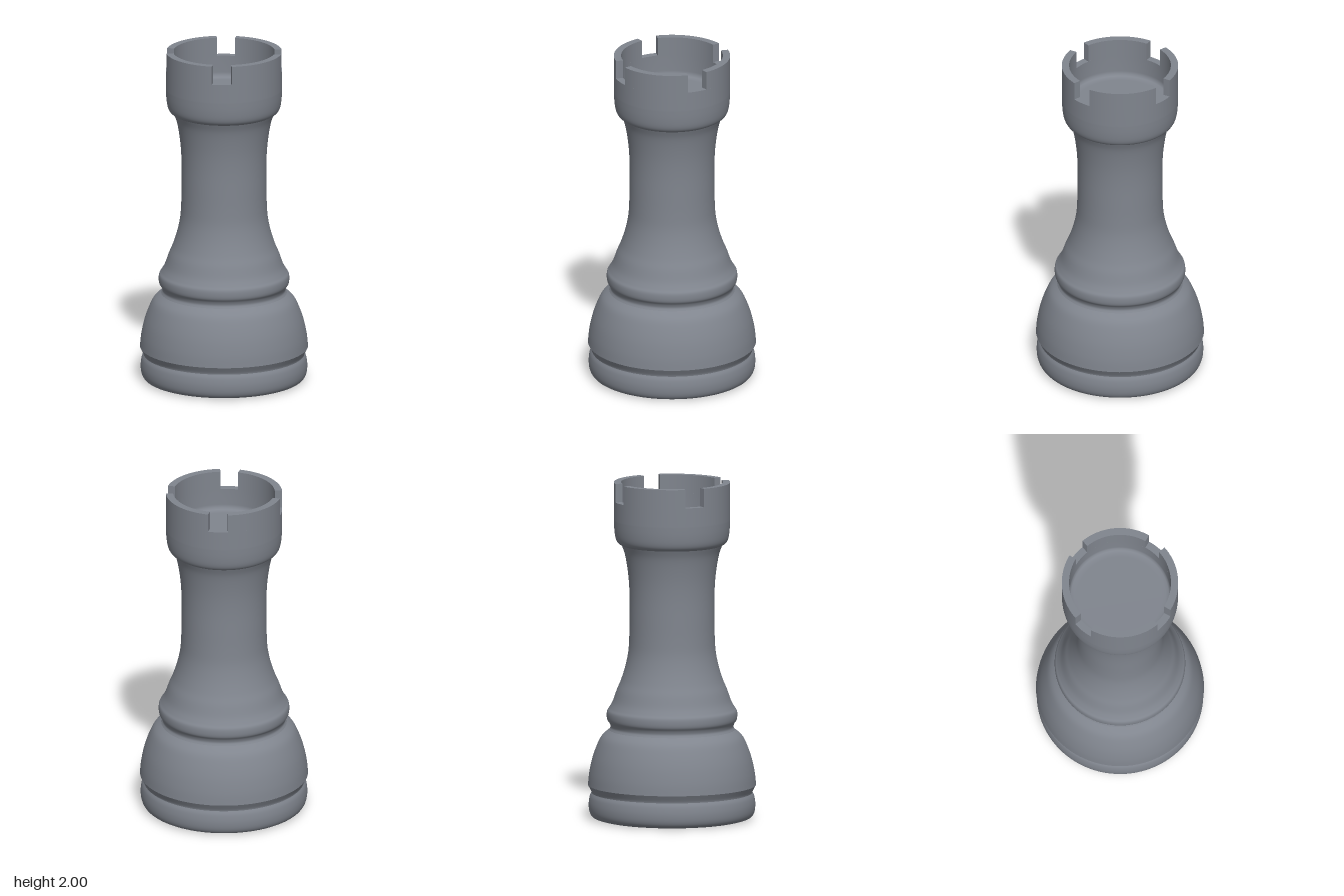
import * as THREE from 'three';

const SEGMENTS = 96;
const RIM = 0.343, BORE = 0.3;          // outer and inner radius of the crown
const NOTCH_FLOOR = 1.89, TOP = 2;
const HALF_NOTCH = THREE.MathUtils.degToRad(10);

const toPoints = (list) => list.map(([r, y]) => new THREE.Vector2(r, y));
const smooth = (list, n) => new THREE.SplineCurve(toPoints(list)).getPoints(n);

export function createModel() {
  const stone = new THREE.MeshStandardMaterial({ color: 0x80858e });
  stone.name = 'slate grey';
  const model = new THREE.Group();
  model.name = 'chessRook';

  const add = (name, geometry, parent = model) => {
    const mesh = new THREE.Mesh(geometry, stone);
    mesh.name = name;
    parent.add(mesh);
    return mesh;
  };
  const turn = (name, points) => add(name, new THREE.LatheGeometry(points, SEGMENTS));

  // Underside and rounded foot
  turn('underside', toPoints([[0, 0], [0.43, 0]]));
  turn('foot', smooth([[0.43, 0], [0.468, 0.012], [0.486, 0.04], [0.491, 0.085],
    [0.485, 0.13], [0.474, 0.155]], 24));

  // Flared groove above the foot, ending in a sharp edge
  turn('groove', smooth([[0.474, 0.155], [0.478, 0.168], [0.495, 0.2]], 6));

  // Domed base
  turn('base', smooth([[0.495, 0.2], [0.488, 0.27], [0.47, 0.355], [0.442, 0.435],
    [0.413, 0.49], [0.37, 0.528]], 24));

  // Collar bead and waisted stem
  turn('collarAndStem', smooth([[0.37, 0.528], [0.362, 0.545], [0.368, 0.567], [0.381, 0.587],
    [0.385, 0.612], [0.382, 0.64], [0.368, 0.662], [0.348, 0.7], [0.325, 0.765], [0.3, 0.825],
    [0.275, 0.905], [0.258, 0.99], [0.252, 1.08], [0.25, 1.2], [0.25, 1.32], [0.255, 1.42],
    [0.266, 1.51], [0.28, 1.58], [0.298, 1.628]], 90));

  // Crown: rounded underside, then straight wall
  turn('crownWall', [
    ...smooth([[0.298, 1.628], [0.32, 1.642], [0.333, 1.67], [0.34, 1.72], [RIM, 1.78]], 20),
    new THREE.Vector2(RIM, NOTCH_FLOOR),
  ]);
  turn('notchFloor', toPoints([[RIM, NOTCH_FLOOR], [BORE, NOTCH_FLOOR]]));
  turn('cupInside', toPoints([[BORE, NOTCH_FLOOR], [BORE, 1.79], [0.297, 1.773],
    [0.288, 1.762], [0.27, 1.757], [0.25, 1.756], [0, 1.756]]));

  // Four battlements separated by radial notches
  const span = Math.PI / 2 - 2 * HALF_NOTCH;
  const faces = {
    outer: [[RIM, NOTCH_FLOOR], [RIM, TOP]],
    top: [[RIM, TOP], [BORE, TOP]],
    inner: [[BORE, TOP], [BORE, NOTCH_FLOOR]],
  };
  for (let i = 0; i < 4; i++) {
    const battlement = new THREE.Group();
    battlement.name = 'battlement' + (i + 1);
    battlement.rotation.y = i * Math.PI / 2;
    for (const [face, points] of Object.entries(faces)) {
      add(face + 'Face', new THREE.LatheGeometry(toPoints(points), 20, HALF_NOTCH, span), battlement);
    }
    // Flat ends facing the notches
    for (const end of [0, 1]) {
      const cheek = new THREE.PlaneGeometry(RIM - BORE, TOP - NOTCH_FLOOR);
      cheek.rotateY(end * Math.PI);
      cheek.translate((RIM + BORE) / 2, (TOP + NOTCH_FLOOR) / 2, 0);
      add('notchCheek', cheek, battlement).rotation.y = HALF_NOTCH + end * span - Math.PI / 2;
    }
    model.add(battlement);
  }
  return model;
}
